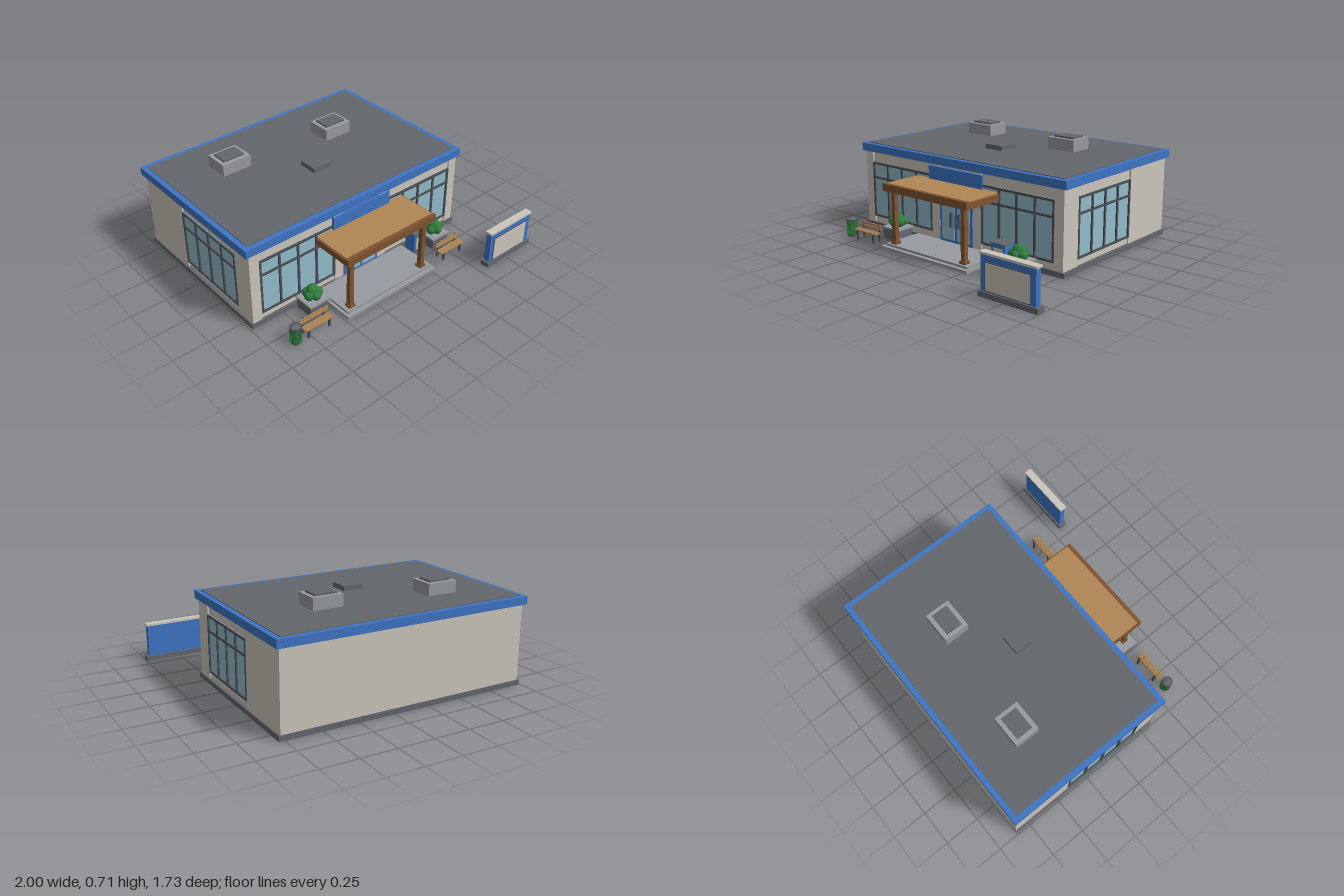
import * as THREE from 'three';

const mat = (name, color, extra = {}) => {
  const m = new THREE.MeshStandardMaterial({ color, ...extra });
  m.name = name;
  return m;
};
const M = {
  wall: mat('wall beige', 0xccc6bc),
  blue: mat('trim blue', 0x3f74c4),
  glass: mat('window glass', 0x93bccb),
  dark: mat('roof grey', 0x63676c),
  frame: mat('frame grey', 0x4c5056),
  light: mat('concrete grey', 0x979a9e),
  brown: mat('dark timber', 0x7f5431),
  tan: mat('light timber', 0xb08755),
  green: mat('leaf green', 0x2f7d3d, { flatShading: true }),
};

// Box given by its limits on each axis
function box(parent, name, m, x0, x1, y0, y1, z0, z1) {
  const mesh = new THREE.Mesh(new THREE.BoxGeometry(x1 - x0, y1 - y0, z1 - z0), m);
  mesh.position.set((x0 + x1) / 2, (y0 + y1) / 2, (z0 + z1) / 2);
  mesh.name = name;
  parent.add(mesh);
  return mesh;
}

function group(parent, name, x = 0, y = 0, z = 0) {
  const g = new THREE.Group();
  g.name = name;
  g.position.set(x, y, z);
  parent.add(g);
  return g;
}

// Four-bay window with a transom, facing +z, centred on its own x
function windowBand(parent, name, width, x, z, turn = 0) {
  const g = group(parent, name, x, 0, z);
  g.rotation.y = turn;
  const h = width / 2, y0 = 0.08, y1 = 0.478, t = 0.014;
  box(g, 'glass', M.glass, -h, h, y0, y1, 0, 0.004);
  for (let i = 0; i <= 4; i++) {
    const c = -h + t / 2 + (i * (width - t)) / 4;
    box(g, 'mullion', M.frame, c - t / 2, c + t / 2, y0, y1, 0, 0.014);
  }
  for (const y of [y0, 0.362, y1 - t]) box(g, 'rail', M.frame, -h, h, y, y + t, 0, 0.013);
}

function building(root) {
  const g = group(root, 'building');
  box(g, 'plinth', M.dark, -0.987, 0.785, 0, 0.035, -0.855, 0.337);
  box(g, 'walls', M.wall, -0.965, 0.763, 0.035, 0.553, -0.845, 0.32);
  box(g, 'rearWalls', M.wall, -0.975, 0.773, 0.035, 0.553, -0.846, -0.405);
  // Pilasters at the corners and beside the entrance
  box(g, 'cornerPilaster', M.wall, -0.975, -0.905, 0.035, 0.553, 0.18, 0.33);
  box(g, 'cornerPilaster', M.wall, 0.703, 0.773, 0.035, 0.553, 0.18, 0.33);
  box(g, 'entrancePilaster', M.wall, -0.322, -0.25, 0.035, 0.553, 0.31, 0.33);
  box(g, 'entrancePilaster', M.wall, 0.048, 0.12, 0.035, 0.553, 0.31, 0.33);
  windowBand(g, 'frontWindowRight', 0.583, -0.6135, 0.32);
  windowBand(g, 'frontWindowLeft', 0.583, 0.4115, 0.32);
  windowBand(g, 'sideWindowLeft', 0.585, 0.763, -0.1125, Math.PI / 2);
  windowBand(g, 'sideWindowRight', 0.585, -0.965, -0.1125, -Math.PI / 2);
  // Roof edge and deck
  box(g, 'fascia', M.blue, -1, 0.795, 0.553, 0.608, -0.865, 0.343);
  box(g, 'roofDeck', M.dark, -0.965, 0.76, 0.6, 0.613, -0.83, 0.308);
  box(g, 'entranceSign', M.blue, -0.338, 0.137, 0.447, 0.538, 0.32, 0.34);
}

function roofUnits(root) {
  for (const [x, z] of [[-0.54, -0.487], [0.263, -0.413]]) {
    const g = group(root, 'roofUnit', x, 0, z);
    box(g, 'casing', M.light, -0.107, 0.107, 0.61, 0.695, -0.087, 0.087);
    box(g, 'grille', M.dark, -0.08, 0.08, 0.695, 0.707, -0.057, 0.057);
  }
  box(root, 'roofHatch', M.dark, -0.174, -0.032, 0.61, 0.645, -0.194, -0.052);
}

function entrance(root) {
  const g = group(root, 'entrance');
  box(g, 'lowerStep', M.light, -0.485, 0.283, 0, 0.02, 0.337, 0.653);
  box(g, 'upperStep', M.light, -0.465, 0.263, 0.02, 0.035, 0.33, 0.625);
  // Double door
  const d = group(g, 'doubleDoor', -0.1, 0, 0.32);
  box(d, 'surround', M.frame, -0.15, 0.15, 0.035, 0.372, 0, 0.008);
  box(d, 'doorFrame', M.blue, -0.145, 0.145, 0.035, 0.365, 0, 0.014);
  for (const s of [-1, 1]) {
    const a = s * 0.012, b = s * 0.126;
    box(d, 'doorGlass', M.glass, Math.min(a, b), Math.max(a, b), 0.052, 0.348, 0.01, 0.017);
    box(d, 'handle', M.frame, s * 0.035 - 0.006, s * 0.035 + 0.006, 0.145, 0.245, 0.014, 0.032);
  }
  // Timber canopy on two posts
  box(g, 'canopyBeams', M.brown, -0.473, 0.273, 0.397, 0.44, 0.32, 0.632);
  box(g, 'canopyDeck', M.tan, -0.463, 0.263, 0.435, 0.447, 0.32, 0.606);
  box(g, 'canopyFrontBeam', M.brown, -0.473, 0.273, 0.397, 0.447, 0.606, 0.634);
  for (const x of [-0.413, 0.207]) {
    box(g, 'post', M.brown, x - 0.016, x + 0.016, 0.03, 0.4, 0.57, 0.602);
    box(g, 'postBase', M.brown, x - 0.024, x + 0.024, 0.03, 0.052, 0.562, 0.61);
  }
}

function planter(root, x) {
  const g = group(root, 'planter', x, 0, 0.415);
  box(g, 'tub', M.dark, -0.07, 0.07, 0, 0.075, -0.07, 0.07);
  box(g, 'rim', M.light, -0.077, 0.077, 0.072, 0.086, -0.075, 0.075);
  // Shrub of clustered blobs
  const blobs = [[0, 0.14, 0, 0.044], ...[0, 1, 2, 3, 4].map((i) => {
    const a = i * Math.PI * 0.4 + 0.3;
    return [Math.cos(a) * 0.036, 0.12, Math.sin(a) * 0.034, 0.034];
  })];
  blobs.forEach(([bx, by, bz, r], i) => {
    const leaf = new THREE.Mesh(new THREE.IcosahedronGeometry(r, 1), M.green);
    leaf.position.set(bx, by, bz);
    leaf.rotation.y = i;
    leaf.name = 'shrub';
    g.add(leaf);
  });
}

function bench(root, x) {
  const g = group(root, 'bench', x, 0, 0.59);
  for (const z of [-0.01, 0.008, 0.026]) box(g, 'seatSlat', M.tan, -0.108, 0.108, 0.062, 0.07, z - 0.007, z + 0.007);
  for (const y of [0.082, 0.105]) box(g, 'backSlat', M.tan, -0.108, 0.108, y, y + 0.014, -0.03, -0.022);
  for (const s of [-0.08, 0.08]) {
    box(g, 'backLeg', M.frame, s - 0.007, s + 0.007, 0, 0.122, -0.036, -0.028);
    box(g, 'frontLeg', M.frame, s - 0.007, s + 0.007, 0, 0.062, 0.018, 0.03);
    box(g, 'seatBracket', M.frame, s - 0.007, s + 0.007, 0.052, 0.062, -0.03, 0.03);
  }
}

function litterBin(root) {
  const g = group(root, 'litterBin', -0.852, 0, 0.593);
  const ring = (name, m, r0, r1, y, h) => {
    const c = new THREE.Mesh(new THREE.CylinderGeometry(r1, r0, h, 12), m);
    c.position.y = y + h / 2;
    c.name = name;
    g.add(c);
  };
  ring('foot', M.frame, 0.03, 0.03, 0, 0.012);
  ring('drum', M.green, 0.03, 0.034, 0.01, 0.105);
  ring('rim', M.frame, 0.038, 0.038, 0.113, 0.01);
  ring('lid', M.dark, 0.03, 0.014, 0.123, 0.008);
  for (let i = 0; i < 12; i++) {
    const a = (i * Math.PI) / 6;
    const rib = box(g, 'rib', M.green, -0.004, 0.004, 0.012, 0.113, -0.003, 0.003);
    rib.position.x = Math.sin(a) * 0.034;
    rib.position.z = Math.cos(a) * 0.034;
    rib.rotation.y = a;
  }
}

function dispenser(root) {
  const g = group(root, 'paperBox', 0.352, 0, 0.393);
  box(g, 'foot', M.frame, -0.045, 0.045, 0, 0.014, -0.04, 0.04);
  box(g, 'cabinet', M.blue, -0.054, 0.054, 0.014, 0.15, -0.044, 0.044);
  box(g, 'lid', M.dark, -0.059, 0.059, 0.15, 0.16, -0.049, 0.049);
  box(g, 'displayPanel', M.wall, -0.037, 0.037, 0.03, 0.125, 0.044, 0.048);
}

function streetSign(root) {
  const g = group(root, 'streetSign', 0.782, 0, 0.838);
  box(g, 'base', M.dark, -0.216, 0.215, 0, 0.035, -0.03, 0.03);
  box(g, 'board', M.blue, -0.2, 0.196, 0.035, 0.256, -0.02, 0.02);
  box(g, 'cap', M.wall, -0.208, 0.204, 0.256, 0.27, -0.026, 0.026);
  box(g, 'panelFrame', M.frame, -0.168, 0.158, 0.04, 0.215, 0.02, 0.023);
  box(g, 'panel', M.wall, -0.163, 0.153, 0.045, 0.21, 0.021, 0.026);
}

export function createModel() {
  const root = new THREE.Group();
  root.name = 'storefront';
  building(root);
  roofUnits(root);
  entrance(root);
  for (const x of [-0.577, 0.502]) planter(root, x);
  for (const x of [-0.687, 0.483]) bench(root, x);
  litterBin(root);
  dispenser(root);
  streetSign(root);
  return root;
}
